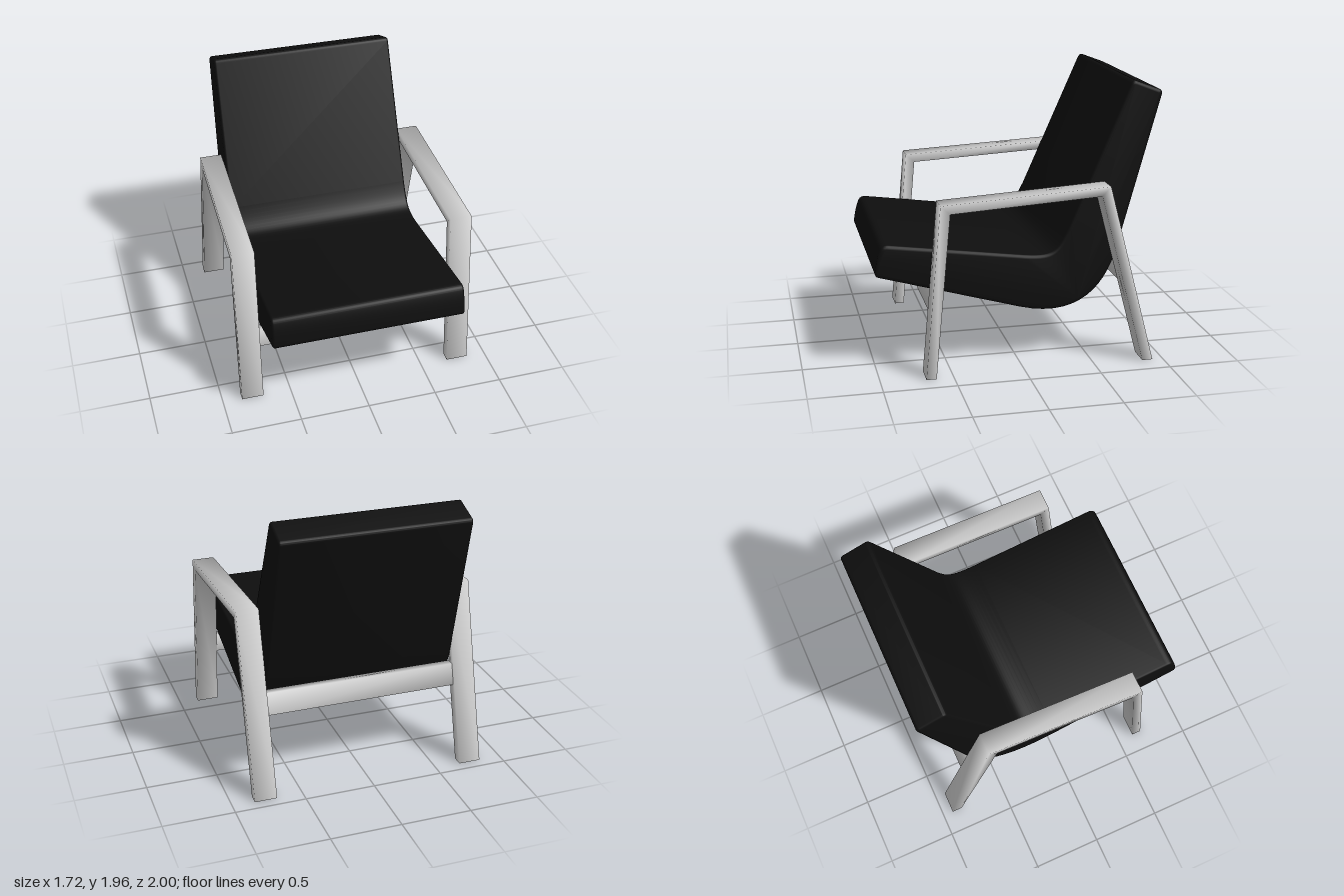
import * as THREE from 'three';
import { toCreasedNormals } from 'three/addons/utils/BufferGeometryUtils.js';

// Softly shaded bar lofted through four-cornered sections, capped at both ends.
function loftBar(sections) {
  const index = [];
  for (let i = 0; i < sections.length - 1; i++) {
    for (let j = 0; j < 4; j++) {
      const a = i * 4 + j, b = i * 4 + (j + 1) % 4;
      index.push(a, b + 4, b, a, a + 4, b + 4);
    }
  }
  const e = (sections.length - 1) * 4;
  index.push(0, 1, 2, 0, 2, 3, e, e + 2, e + 1, e, e + 3, e + 2);
  const geo = new THREE.BufferGeometry();
  geo.setAttribute('position', new THREE.Float32BufferAttribute(sections.flat(2), 3));
  geo.setIndex(index);
  geo.computeVertexNormals();
  return geo;
}

// One continuous front leg, armrest and back leg; stations are [outer z, y, inner z, y].
function sideFrame(side) {
  const stations = [
    [0.69, 0, 0.62, 0],
    [0.58, 1.21, 0.515, 1.15],
    [-0.59, 1.275, -0.53, 1.21],
    [-0.925, 0, -0.85, 0],
  ];
  return loftBar(stations.map(([zo, yo, zi, yi]) => {
    const mid = side * (0.774 + 0.012 * zo);
    const hi = mid + 0.079, lo = mid - 0.079;
    return [[hi, yo, zo], [lo, yo, zo], [lo, yi, zi], [hi, yi, zi]];
  }));
}

// Rail between the legs, leaning with them (lean = dz/dy).
function crossRail(halfLength, y, z, height, depth, lean) {
  const h = height / 2, d = depth / 2, s = lean * h;
  return loftBar([-halfLength, halfLength].map((x) => [
    [x, y + h, z + s + d], [x, y + h, z + s - d],
    [x, y - h, z - s - d], [x, y - h, z - s + d],
  ]));
}

// Padded shell: side profile (z, y) extruded across the width and tapered upward.
function cushion() {
  const p = new THREE.Shape();
  p.moveTo(0.9, 0.907);
  p.lineTo(-0.04, 0.778);
  p.bezierCurveTo(-0.23, 0.757, -0.26, 0.78, -0.345, 0.95);
  p.lineTo(-0.775, 1.935);
  p.quadraticCurveTo(-0.79, 1.967, -0.82, 1.953);
  p.lineTo(-0.975, 1.895);
  p.quadraticCurveTo(-1.005, 1.885, -0.995, 1.85);
  p.lineTo(-0.7, 0.81);
  p.bezierCurveTo(-0.62, 0.51, -0.42, 0.29, 0, 0.408);
  p.lineTo(0.975, 0.686);
  p.quadraticCurveTo(1.004, 0.695, 0.997, 0.73);
  p.quadraticCurveTo(0.985, 0.82, 0.96, 0.88);
  p.quadraticCurveTo(0.945, 0.914, 0.9, 0.907);
  const bevel = 0.025;
  const geo = new THREE.ExtrudeGeometry(p, {
    depth: 2 - 2 * bevel, curveSegments: 14,
    bevelEnabled: true, bevelSize: bevel, bevelThickness: bevel,
    bevelOffset: -bevel, bevelSegments: 3,
  });
  geo.translate(0, 0, bevel - 1);
  geo.rotateY(-Math.PI / 2);
  const pos = geo.attributes.position;
  for (let i = 0; i < pos.count; i++) {
    pos.setX(i, pos.getX(i) * (0.693 - 0.018 * (pos.getY(i) - 0.4)));
  }
  return toCreasedNormals(geo, 0.7);
}

export function createModel() {
  const black = new THREE.MeshStandardMaterial({ color: 0x0e0e0e });
  black.name = 'black upholstery';
  const metal = new THREE.MeshStandardMaterial({ color: 0xcccccc });
  metal.name = 'light grey metal';

  const group = new THREE.Group();
  group.name = 'armchair';
  const add = (name, geo, mat) => {
    const mesh = new THREE.Mesh(geo, mat);
    mesh.name = name;
    group.add(mesh);
  };

  add('seatAndBack', cushion(), black);
  add('leftSideFrame', sideFrame(1), metal);
  add('rightSideFrame', sideFrame(-1), metal);
  add('frontRail', crossRail(0.71, 0.5, 0.608, 0.145, 0.05, -0.09), metal);
  add('backRail', crossRail(0.695, 0.63, -0.715, 0.15, 0.05, 0.26), metal);
  return group;
}
